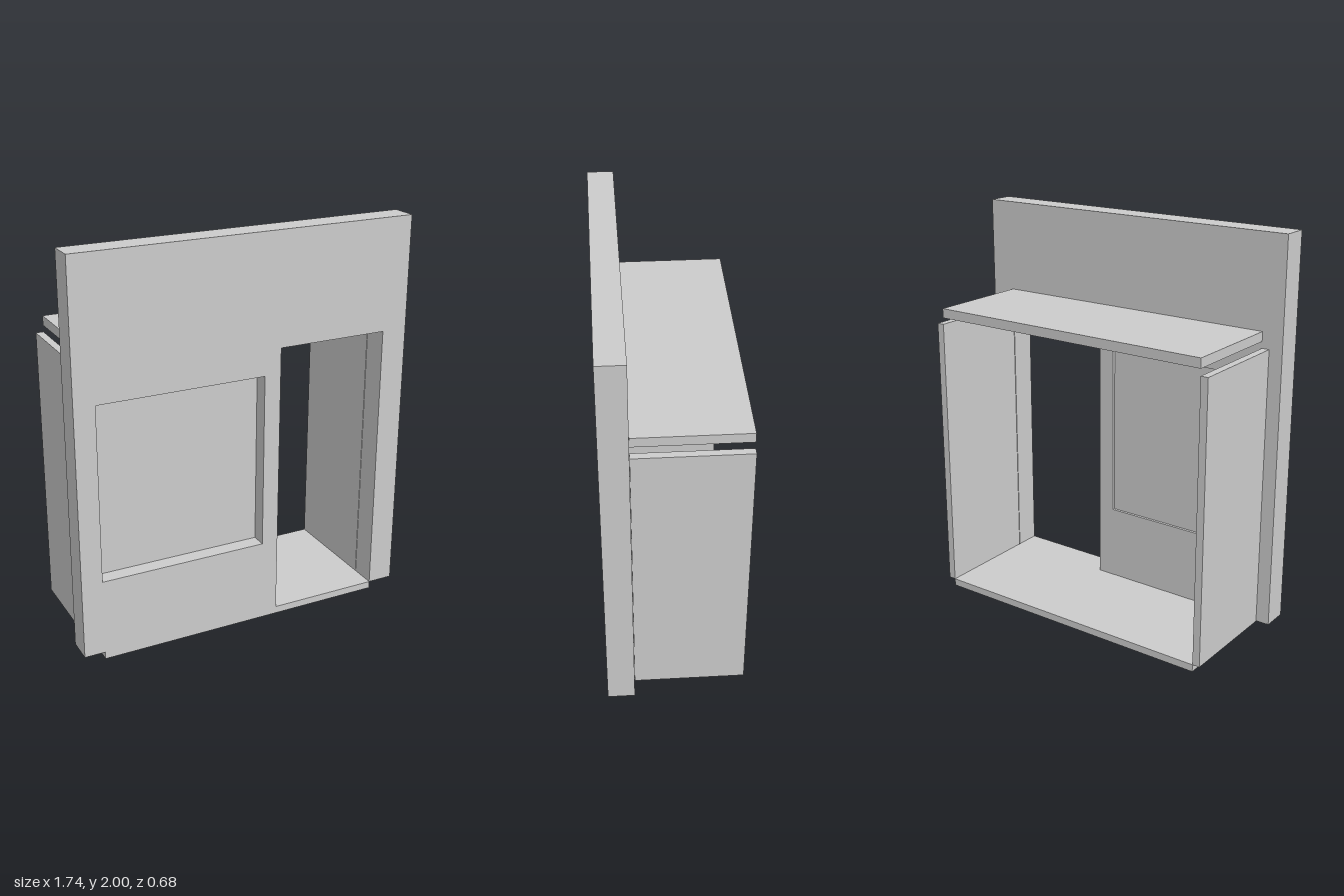
import * as THREE from 'three';

const material = new THREE.MeshStandardMaterial({ color: 0xcccccc, flatShading: true });

// Box given by its lower and upper limits on each axis
function slab(name, [x0, x1], [y0, y1], [z0, z1]) {
  const mesh = new THREE.Mesh(new THREE.BoxGeometry(x1 - x0, y1 - y0, z1 - z0), material);
  mesh.position.set((x0 + x1) / 2, (y0 + y1) / 2, (z0 + z1) / 2);
  mesh.name = name;
  return mesh;
}

const points = (list) => list.map(([x, y]) => new THREE.Vector2(x, y));

export function createModel() {
  const group = new THREE.Group();
  group.name = 'roomModule';

  const floorTop = 0.037;
  const inner = [-0.767, 0.741];
  const depth = [-0.34, 0.204];
  const windowX = [-0.767, 0.085];
  const windowY = [0.42, 1.307];

  // Front wall with a doorway open at the bottom and a window hole
  const outline = new THREE.Shape(points([
    [-0.872, floorTop], [0.17, floorTop], [0.17, 1.435], [0.741, 1.435],
    [0.741, floorTop], [0.872, floorTop], [0.872, 2], [-0.872, 2],
  ]));
  outline.holes.push(new THREE.Path(points([
    [windowX[0], windowY[0]], [windowX[0], windowY[1]],
    [windowX[1], windowY[1]], [windowX[1], windowY[0]],
  ])));
  const wall = new THREE.Mesh(
    new THREE.ExtrudeGeometry(outline, { depth: 0.132, bevelEnabled: false }), material);
  wall.position.z = 0.208;
  wall.name = 'frontWall';
  group.add(wall);

  // Window panel, set back deeply from the front and slightly from the rear
  group.add(slab('windowPanel', windowX, windowY, [0.222, 0.262]));

  // Floor, side walls and raised roof
  group.add(slab('floor', inner, [0, floorTop], [-0.34, 0.34]));
  group.add(slab('rightWall', [inner[0] - 0.038, inner[0]], [floorTop, 1.455], depth));
  group.add(slab('leftWall', [inner[1], inner[1] + 0.038], [floorTop, 1.455], depth));
  group.add(slab('roof', inner, [1.488, 1.536], depth));

  return group;
}
